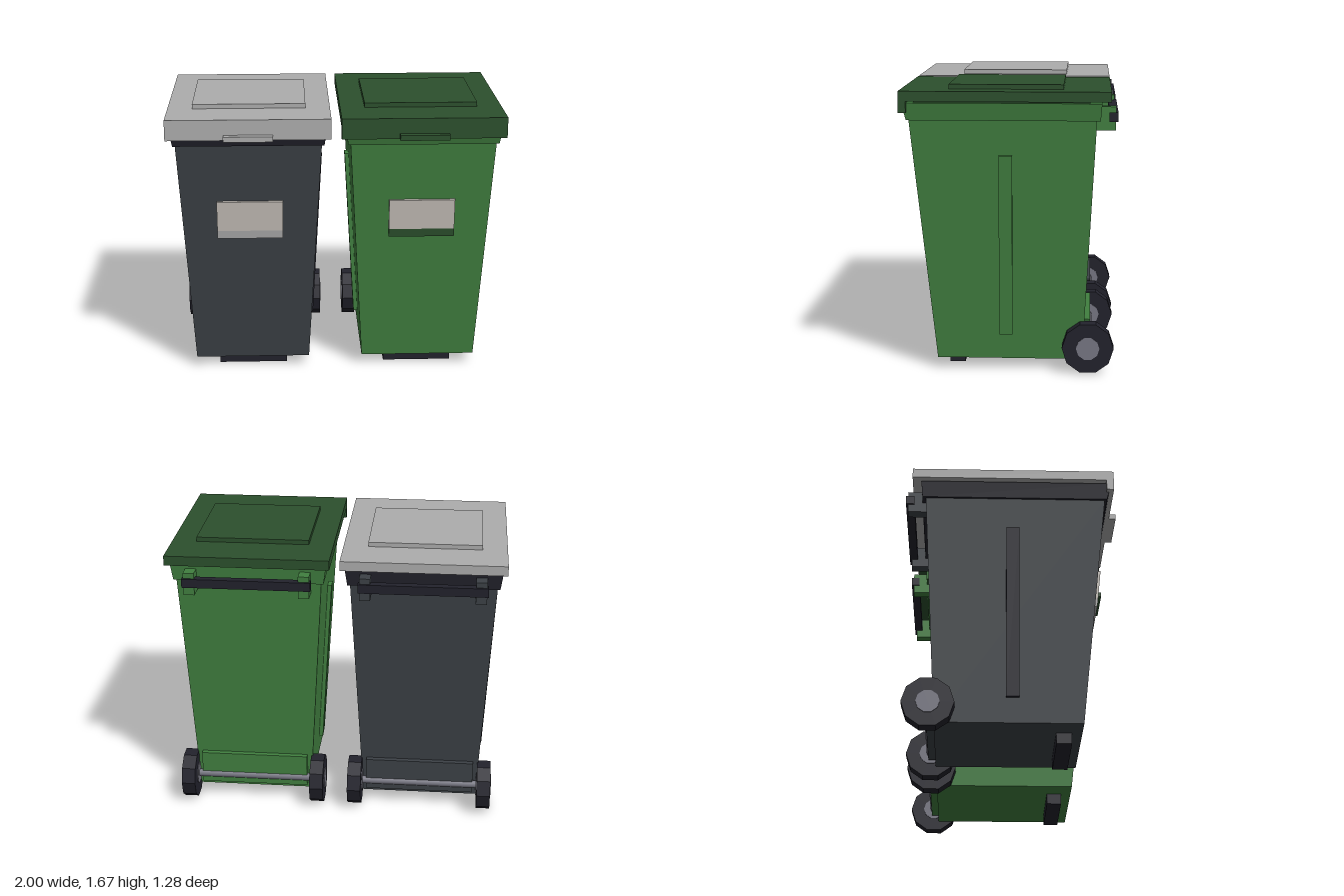
import * as THREE from 'three';

const mat = (name, color) => {
  const m = new THREE.MeshStandardMaterial({ color });
  m.name = name;
  return m;
};

// Block whose bottom and top rectangles [x0, x1, z0, z1] may differ
function taper(y0, y1, bottom, top = bottom) {
  const g = new THREE.BoxGeometry(1, 1, 1);
  const p = g.attributes.position;
  for (let i = 0; i < p.count; i++) {
    const up = p.getY(i) > 0;
    const r = up ? top : bottom;
    p.setXYZ(i, r[p.getX(i) > 0 ? 1 : 0], up ? y1 : y0, r[p.getZ(i) > 0 ? 3 : 2]);
  }
  g.computeVertexNormals();
  return g;
}

// Sloping walls of the body
const wallX = (y) => 0.35 + (y - 0.065) * 0.057;
const frontZ = (y) => 0.4 + (y - 0.065) * 0.105;

function createBin(name, c) {
  const bin = new THREE.Group();
  bin.name = name;
  const add = (part, geometry, material) => {
    const m = new THREE.Mesh(geometry, material);
    m.name = part;
    bin.add(m);
    return m;
  };

  // Tub and rim
  add('body', taper(0.065, 1.48, [-0.35, 0.35, -0.445, 0.4], [-0.431, 0.431, -0.52, 0.548]), c.body);
  add('rim', taper(1.475, 1.575, [-0.445, 0.445, -0.54, 0.56], [-0.46, 0.46, -0.548, 0.587]), c.trim);
  add('axleHousing', taper(0.1, 0.3, [-0.33, 0.33, -0.49, -0.36]), c.body);
  add('frontFoot', taper(0, 0.07, [-0.21, 0.21, 0.25, 0.34]), c.black);

  // Lid
  add('lidSeal', taper(1.57, 1.59, [-0.43, 0.43, -0.48, 0.52]), c.lid);
  add('lid', taper(1.585, 1.643, [-0.485, 0.485, -0.6, 0.6]), c.lid);
  add('lidFrontLip', taper(1.52, 1.59, [-0.485, 0.485, 0.557, 0.6]), c.lid);
  add('lidRaisedPanel', taper(1.64, 1.67, [-0.338, 0.338, -0.33, 0.327]), c.lid);
  add('lidHandle', taper(1.52, 1.552, [-0.145, 0.145, 0.59, 0.642]), c.lid);

  // Front label with a coloured strip along its foot
  const plate = (part, y0, y1, w, out, material) => add(part, taper(y0, y1,
    [-w, w, frontZ(y0) - 0.01, frontZ(y0) + out],
    [-w, w, frontZ(y1) - 0.01, frontZ(y1) + out]), material);
  plate('label', 0.935, 1.122, 0.197, 0.022, c.label);
  plate('labelStrip', 0.885, 0.935, 0.197, 0.022, c.lid);

  // Rear grip bar
  add('gripBar', taper(1.465, 1.518, [-0.378, 0.378, -0.64, -0.59]), c.black);

  // Axle
  const axle = add('axle', new THREE.CylinderGeometry(0.024, 0.024, 0.76, 8), c.metal);
  axle.rotation.z = Math.PI / 2;
  axle.position.set(0, 0.153, -0.478);

  // Parts mirrored on both sides
  for (const s of [-1, 1]) {
    const side = s > 0 ? 'left' : 'right';
    const span = (a, b) => [Math.min(s * a, s * b), Math.max(s * a, s * b)];

    const ribAt = (y) => [...span(wallX(y) - 0.02, wallX(y) + 0.025), -0.04, 0.037];
    add(side + 'Rib', taper(0.215, 1.275, ribAt(0.215), ribAt(1.275)), c.trim);
    add(side + 'GripBracket', taper(1.415, 1.55, [...span(0.305, 0.37), -0.627, -0.5]), c.body);

    const wheel = new THREE.CylinderGeometry(0.15, 0.15, 0.083, 10).toNonIndexed();
    wheel.computeVertexNormals();
    const hub = new THREE.CylinderGeometry(0.068, 0.068, 0.093, 10);
    for (const [part, g, m] of [['Wheel', wheel, c.black], ['Hub', hub, c.metal]]) {
      g.rotateZ(Math.PI / 2);
      add(side + part, g, m).position.set(s * 0.398, 0.153, -0.478);
    }
  }
  return bin;
}

export function createModel() {
  const model = new THREE.Group();
  model.name = 'wheelieBins';
  const green = mat('green', 0x418040);
  const darkGreen = mat('dark green', 0x2c502d);
  const charcoal = mat('charcoal', 0x3c4146);
  const lightGrey = mat('light grey', 0xadadad);
  const black = mat('black', 0x22222c);
  const metal = mat('grey metal', 0x787884);
  const label = mat('label beige', 0xc6c0b9);

  const greenBin = createBin('greenBin', { body: green, trim: green, lid: darkGreen, black, metal, label });
  const greyBin = createBin('greyBin', { body: charcoal, trim: black, lid: lightGrey, black, metal, label });
  greenBin.position.x = 0.515;
  greyBin.position.x = -0.515;
  model.add(greenBin, greyBin);
  return model;
}
